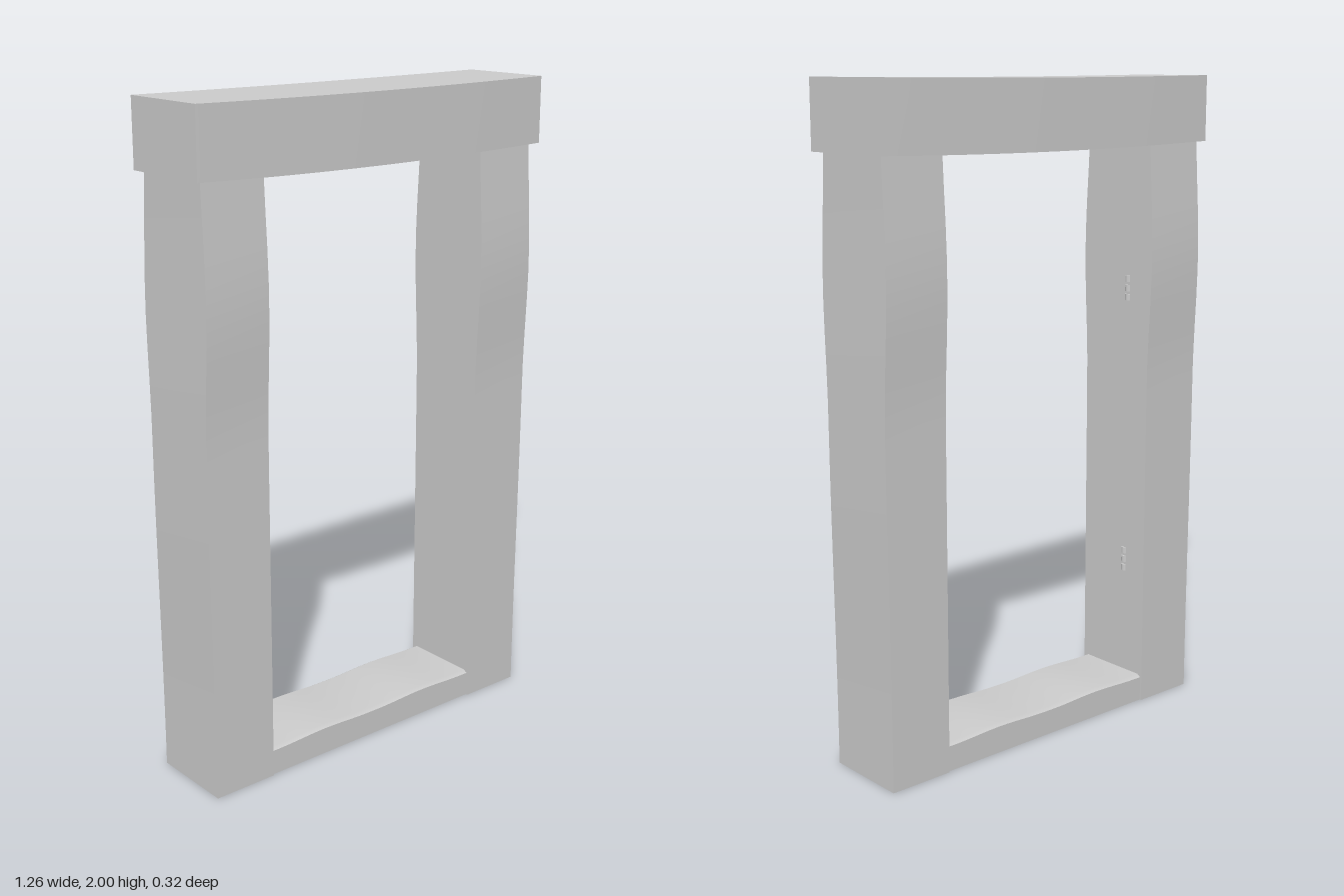
import * as THREE from 'three';

const material = new THREE.MeshStandardMaterial({ color: 0xcccccc, side: THREE.DoubleSide });

// Box whose vertices are moved by a rule; each face keeps its own smooth normals
function shapedBox(name, size, segments, rule, openBottom = false) {
  const geo = new THREE.BoxGeometry(...size, ...segments);
  if (openBottom) {
    const { start, count } = geo.groups[3];
    const index = Array.from(geo.index.array);
    index.splice(start, count);
    geo.setIndex(index);
  }
  geo.clearGroups();
  const pos = geo.attributes.position;
  const v = new THREE.Vector3();
  for (let i = 0; i < pos.count; i++) {
    rule(v.fromBufferAttribute(pos, i));
    pos.setXYZ(i, v.x, v.y, v.z);
  }
  geo.computeVertexNormals();
  const mesh = new THREE.Mesh(geo, material);
  mesh.name = name;
  return mesh;
}

// Smooth hump: 1 at the centre, 0 at distance w
const hump = (t, centre, w) => {
  const d = Math.min(1, Math.abs(t - centre) / w);
  return 0.5 + 0.5 * Math.cos(Math.PI * d);
};

// Side post, hollow underneath, swelling in depth near the upper part
function post(name, side) {
  const mesh = shapedBox(name, [0.205, 1.81, 0.27], [1, 18, 1], (p) => {
    const y = p.y + 0.905;
    const outer = p.x * side > 0;
    p.z = Math.sign(p.z) * (0.134 - 0.004 * Math.max(0, (y - 1.4) / 0.4) + 0.014 * hump(y, 1.47, 0.42));
    if (outer) p.x += side * 0.006 * hump(y, 1, 0.9);
  }, true);
  mesh.position.set(side * 0.5045 - 0.003, 0.905, 0);
  return mesh;
}

// Hinge made of three short barrels half sunk in the post
function hinge(name, y) {
  const group = new THREE.Group();
  group.name = name;
  for (let i = -1; i <= 1; i++) {
    const barrel = new THREE.Mesh(new THREE.CylinderGeometry(0.011, 0.011, 0.02, 10), material);
    barrel.name = 'hingeBarrel';
    barrel.position.y = i * 0.029;
    group.add(barrel);
  }
  group.position.set(-0.409, y, -0.045);
  return group;
}

export function createModel() {
  const model = new THREE.Group();
  model.name = 'doorFrame';

  model.add(post('leftPost', 1), post('rightPost', -1));

  // Lintel, bowed outward front and back and sagging slightly
  const lintel = shapedBox('lintel', [1.262, 0.2, 0.3], [12, 1, 1], (p) => {
    const b = 1 - Math.abs(p.x) / 0.631;
    const bow = b * (2 - b);
    p.z += Math.sign(p.z) * 0.012 * bow;
    p.y -= (p.y < 0 ? 0.009 : 0.004) * bow;
  });
  lintel.position.y = 1.9;
  model.add(lintel);

  // Sill, hollow underneath, with a worn wavy top and eased long edges
  const sill = shapedBox('sill', [0.83, 0.086, 0.256], [24, 1, 4], (p) => {
    if (p.y > 0) {
      p.y += 0.006 * (hump(Math.abs(p.x), 0.2, 0.18));
      if (Math.abs(p.z) > 0.12) p.y -= 0.008;
      else if (Math.abs(p.z) > 0.05) p.z = Math.sign(p.z) * 0.115;
    }
  }, true);
  sill.position.set(-0.003, 0.043, 0);
  model.add(sill);

  model.add(hinge('upperHinge', 1.35), hinge('lowerHinge', 0.465));
  return model;
}
